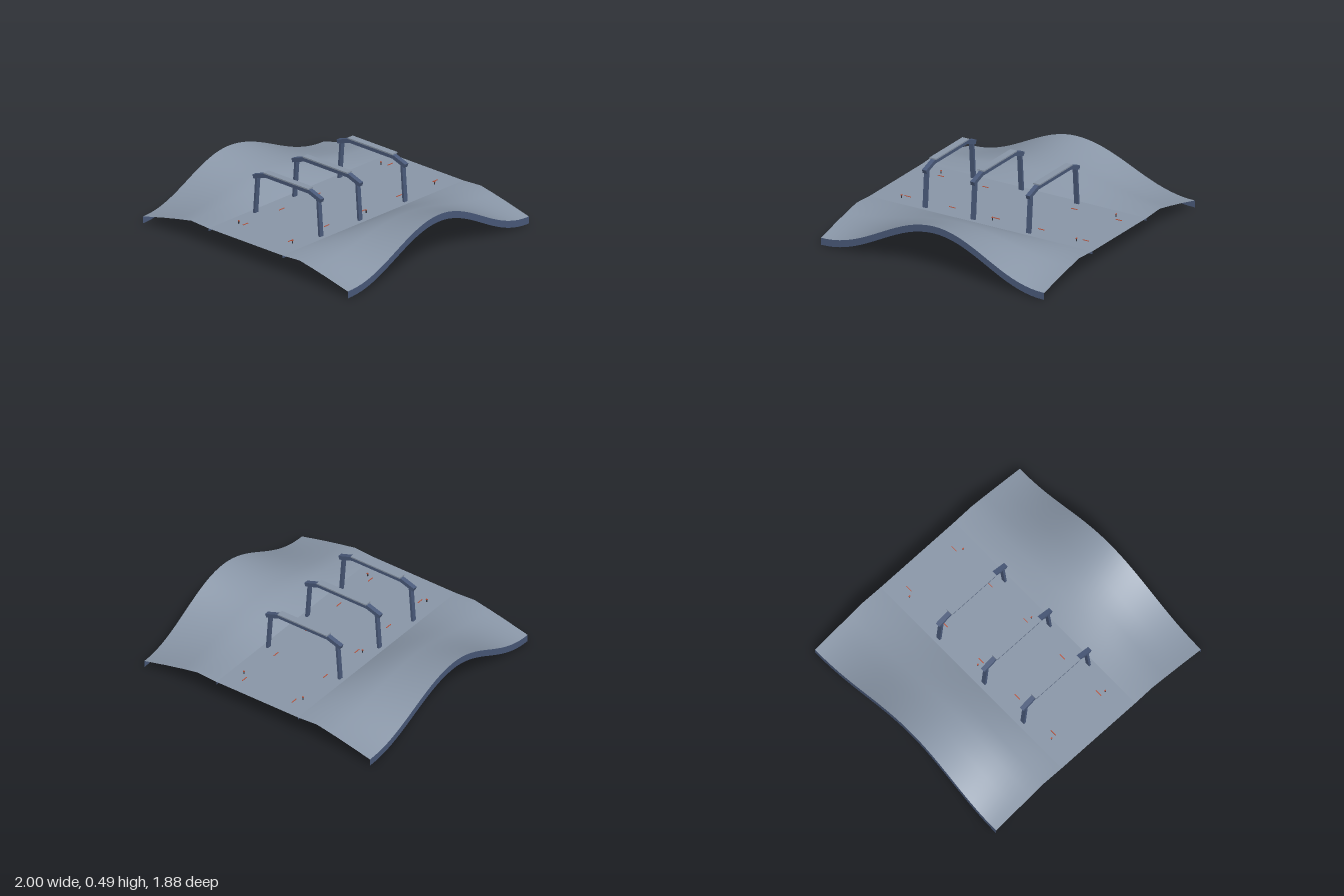
import * as THREE from 'three';

const HALF_Z = 0.94, DECK = 0.15, ROWS = 36;

// Bank cross-section: [distance from middle, height at the ends, extra height at the crest]
const SECTION = [
  [0.36, 0.15, 0], [0.53, 0.16, 0.075], [0.66, 0.135, 0.135], [0.8, 0.105, 0.195], [1, 0.057, 0.303],
];

// Rise of the bank along z, 0 at the ends and 1 at the crest
function rise(z, side) {
  const c = side > 0 ? -0.01 : 0.06;
  const t = Math.min(1, Math.abs(z - c) / (HALF_Z + (z > c ? -c : c)));
  return Math.pow(0.5 + 0.5 * Math.cos(Math.PI * t), 1.08) * (side > 0 ? 1 : 0.9);
}

function bankHeight([, low, extra], z, side) {
  return low + extra * rise(z, side);
}

// Open sheet from a list of functions z -> [x, y]
function sheet(columns) {
  const pos = [], index = [], n = columns.length;
  for (let j = 0; j <= ROWS; j++) {
    const z = -HALF_Z + (2 * HALF_Z * j) / ROWS;
    for (const column of columns) pos.push(...column(z), z);
  }
  for (let j = 0; j < ROWS; j++) {
    for (let i = 0; i < n - 1; i++) {
      const a = j * n + i, b = a + 1, c = a + n, d = c + 1;
      index.push(a, c, b, b, c, d);
    }
  }
  const geometry = new THREE.BufferGeometry();
  geometry.setAttribute('position', new THREE.Float32BufferAttribute(pos, 3));
  geometry.setIndex(index);
  geometry.computeVertexNormals();
  return geometry;
}

export function createModel() {
  const model = new THREE.Group();
  model.name = 'archedTrack';
  const ground = new THREE.MeshStandardMaterial({ color: 0x8a97a8, side: THREE.DoubleSide });
  ground.name = 'grey ground';
  const frame = new THREE.MeshStandardMaterial({ color: 0x4a5a7a, side: THREE.DoubleSide });
  frame.name = 'slate blue';
  const red = new THREE.MeshStandardMaterial({ color: 0xb9553f });
  red.name = 'brick red';
  const dark = new THREE.MeshStandardMaterial({ color: 0x33363e });
  dark.name = 'charcoal';

  const add = (parent, name, geometry, material, x = 0, y = 0, z = 0) => {
    const mesh = new THREE.Mesh(geometry, material);
    mesh.name = name;
    mesh.position.set(x, y, z);
    parent.add(mesh);
    return mesh;
  };
  const box = (parent, name, material, w, h, d, x, y, z) =>
    add(parent, name, new THREE.BoxGeometry(w, h, d), material, x, y, z);

  // Beam in the xy plane between two points
  const beam = (parent, name, [x1, y1], [x2, y2], thick, depth) => {
    const mesh = box(parent, name, frame, Math.hypot(x2 - x1, y2 - y1), thick, depth,
      (x1 + x2) / 2, (y1 + y2) / 2, 0);
    mesh.rotation.z = Math.atan2(y2 - y1, x2 - x1);
  };

  // Flat deck
  add(model, 'deck', sheet([() => [-0.36, DECK], () => [0.36, DECK]]), ground);

  for (const side of [-1, 1]) {
    const label = side > 0 ? 'left' : 'right';
    const ordered = (list) => (side > 0 ? list : list.reverse());

    // Rising bank beside the deck
    const columns = SECTION.map((s) => (z) => [side * s[0], bankHeight(s, z, side)]);
    add(model, label + 'Bank', sheet(ordered(columns)), ground);

    // Vertical rim on the outer edge and low skirt along the deck
    const edge = SECTION[SECTION.length - 1];
    const rim = [0, 0.054].map((drop) => (z) => [side, bankHeight(edge, z, side) - drop]);
    add(model, label + 'Rim', sheet(ordered(rim)), frame);
    const skirt = [DECK, 0.128].map((y) => () => [side * 0.36, y]);
    add(model, label + 'Skirt', sheet(ordered(skirt)), frame);

    // Lane dashes
    for (let i = 0; i < 5; i++) {
      box(model, 'laneDash', red, 0.006, 0.004, 0.052, side * 0.22, DECK + 0.002, -0.795 + i * 0.375);
    }

    // Small marker posts with caps
    for (const z of [-0.745, -0.035, 0.73]) {
      box(model, 'markerPost', dark, 0.006, 0.04, 0.006, side * 0.262, 0.152, z);
      box(model, 'markerCap', red, 0.013, 0.006, 0.008, side * 0.262, 0.172, z);
    }
  }

  // Three gantries
  for (const z of [-0.378, 0.09, 0.495]) {
    const gantry = new THREE.Group();
    gantry.name = 'gantry';
    gantry.position.z = z;
    for (const s of [-1, 1]) {
      beam(gantry, 'leg', [s * 0.32, 0.135], [s * 0.298, 0.425], 0.018, 0.035);
      beam(gantry, 'shoulder', [s * 0.33, 0.428], [s * 0.2, 0.472], 0.03, 0.035);
    }
    box(gantry, 'crossbeam', frame, 0.42, 0.03, 0.042, 0, 0.47, 0);
    box(gantry, 'topPlate', ground, 0.436, 0.01, 0.054, 0, 0.489, 0);
    model.add(gantry);
  }
  return model;
}
